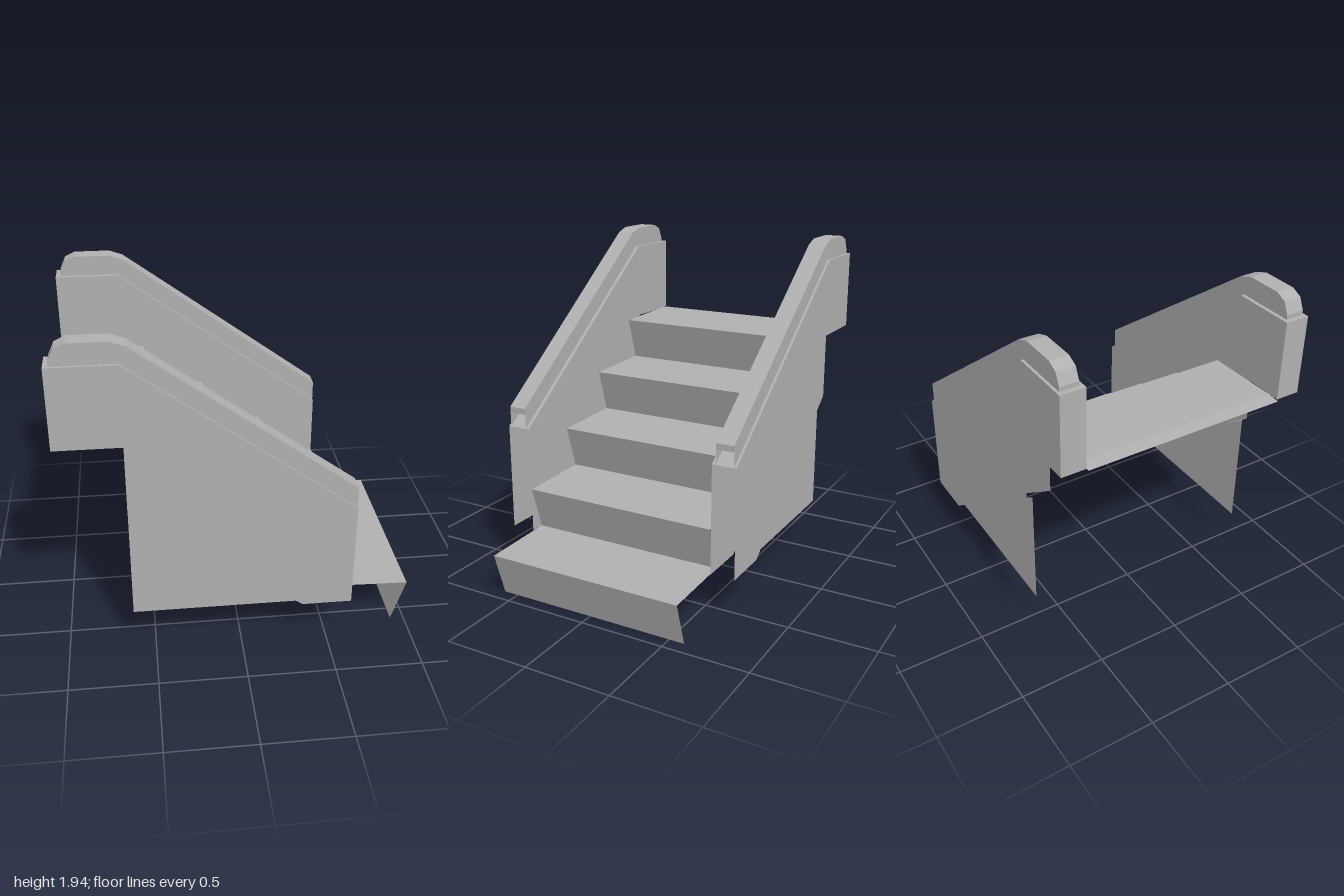
import * as THREE from 'three';

const grey = new THREE.MeshStandardMaterial({ color: 0xb0b0b0, side: THREE.DoubleSide });
grey.name = 'plain grey';

function mesh(name, geometry) {
  const m = new THREE.Mesh(geometry, grey);
  m.name = name;
  return m;
}

// Flat sheet in the xy plane at a given z
function sheet(name, points, z) {
  const shape = new THREE.Shape(points.map(([x, y]) => new THREE.Vector2(x, y)));
  return mesh(name, new THREE.ShapeGeometry(shape).translate(0, 0, z));
}

// Folded sheet: an xy path swept from z0 to z1, flat shaded
function strip(name, path, z0, z1) {
  const pos = [];
  for (let i = 0; i < path.length - 1; i++) {
    const [ax, ay] = path[i], [bx, by] = path[i + 1];
    pos.push(ax, ay, z0, ax, ay, z1, bx, by, z1, ax, ay, z0, bx, by, z1, bx, by, z0);
  }
  const g = new THREE.BufferGeometry();
  g.setAttribute('position', new THREE.Float32BufferAttribute(pos, 3));
  g.computeVertexNormals();
  return mesh(name, g);
}

function createSide() {
  const side = new THREE.Group();
  const inner = 0.593, outer = 0.735, skirt = 0.70;

  // Hollow balustrade: two walls, sloping cap and upper end, open below
  const cap = [[-0.988, 1.82], [-0.62, 1.82], [0.63, 0.905]];
  const wall = [[-0.988, 1.36], [-0.62, 1.36], [-0.62, 0.98], [0.345, 0.27], [0.63, 0.27], ...cap.slice().reverse()];
  side.add(sheet('outerWall', wall, outer));
  side.add(sheet('innerWall', wall, inner));
  side.add(strip('balustradeCap', [[-0.988, 1.36], ...cap], inner, outer));

  // Recessed triangular skirt with its slanted ledge
  side.add(sheet('skirtPanel', [[-0.62, 0.27], [0.345, 0.27], [-0.62, 0.98]], skirt));
  side.add(strip('skirtLedge', [[0.345, 0.27], [-0.62, 0.98]], skirt, outer));

  // Handrail: top band with thickness, and side faces down to the cap
  const r0 = 0.615, r1 = 0.72;
  const top = [[-0.96, 1.82], [-0.96, 1.845], [-0.93, 1.91], [-0.87, 1.938], [-0.66, 1.938], [-0.58, 1.91], [0.63, 1.025]];
  const under = [[-0.93, 1.82], [-0.93, 1.84], [-0.907, 1.885], [-0.86, 1.905], [-0.665, 1.905], [-0.595, 1.88], [0.63, 0.99]];
  const rail = [...top, [0.63, 0.905], [-0.62, 1.82]];
  side.add(strip('handrailTop', top, r0, r1));
  side.add(strip('handrailUnderside', under.slice().reverse(), r0, r1));
  side.add(strip('handrailEnd', [[0.63, 1.025], [0.63, 0.99]], r0, r1));
  side.add(sheet('handrailInnerFace', rail, r0));
  side.add(sheet('handrailOuterFace', rail, r1));
  return side;
}

export function createModel() {
  const model = new THREE.Group();
  model.name = 'escalator';

  // Folded sheet of treads and raked risers, from the landing down
  const run = 0.37, rise = 0.2725;
  const path = [[-1, 1.355]];
  for (let k = 4; k >= 0; k--) {
    const nose = 1 - run * k;
    path.push([nose - 0.45, rise * (k + 1)]);
    path.push([nose, rise * (k + 1) - 0.012]);
  }
  path.push([0.92, 0]);
  model.add(strip('steps', path, -0.59, 0.59));

  // Mirrored balustrades
  for (const s of [1, -1]) {
    const side = createSide();
    side.name = s > 0 ? 'frontBalustrade' : 'backBalustrade';
    side.scale.z = s;
    model.add(side);
  }
  return model;
}
